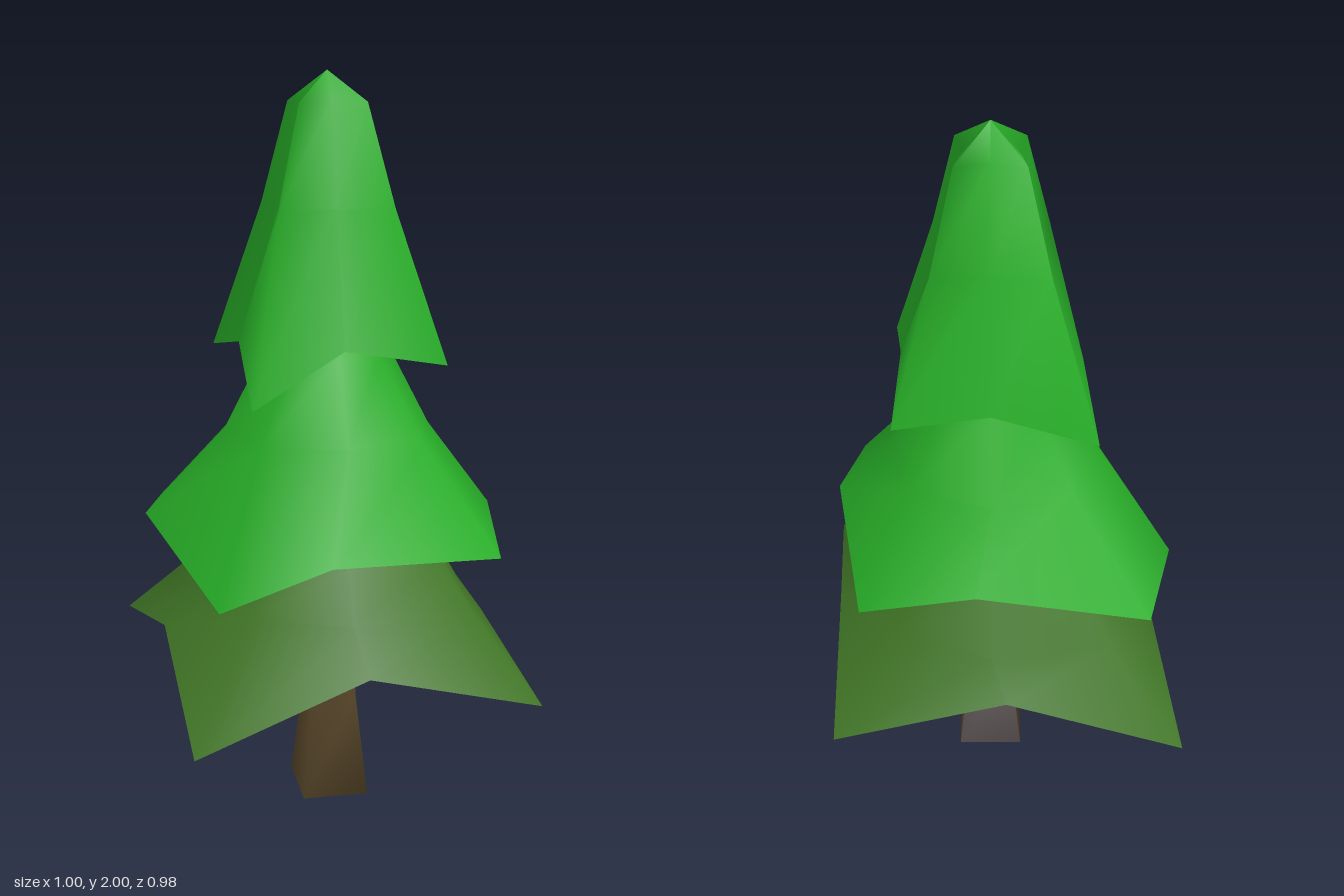
import * as THREE from 'three';

const foliageGreen = new THREE.MeshStandardMaterial({ color: 0x27ad27, side: THREE.DoubleSide });
foliageGreen.name = 'foliage green';
const oliveGreen = new THREE.MeshStandardMaterial({ color: 0x407526, side: THREE.DoubleSide });
oliveGreen.name = 'olive green';
const barkBrown = new THREE.MeshStandardMaterial({ color: 0x5c4a2c });
barkBrown.name = 'bark brown';
const bareGrey = new THREE.MeshStandardMaterial({ color: 0x6e6464 });
bareGrey.name = 'bare wood grey';

// Skin a run of loops (bottom to top, each running clockwise from the back left)
function loft(loops) {
  const n = loops[0].length;
  const index = [];
  for (let r = 0; r < loops.length - 1; r++) {
    for (let i = 0; i < n; i++) {
      const j = (i + 1) % n;
      const a = r * n + i, b = r * n + j;
      index.push(a, a + n, b, b, a + n, b + n);
    }
  }
  const geometry = new THREE.BufferGeometry();
  geometry.setAttribute('position', new THREE.Float32BufferAttribute(loops.flat(2), 3));
  geometry.setIndex(index);
  return geometry;
}

// Eight-point loop with radii for the edge middles and for the two diagonals
function octagon([y, middle, corner, longCorner = corner], cx = 0.02, cz = 0.01) {
  return Array.from({ length: 8 }, (_, i) => {
    const angle = (-3 + i) * Math.PI / 4;
    const r = i % 2 ? middle : i % 4 ? corner : longCorner;
    return [cx + Math.cos(angle) * r, y, cz + Math.sin(angle) * r];
  });
}

// Hollow skirt of foliage: an irregular star-shaped rim rising to smoother loops
function tier(name, material, rim, rings) {
  const geometry = loft([rim, ...rings.map((ring) => octagon(ring))]);
  geometry.computeVertexNormals();
  const mesh = new THREE.Mesh(geometry, material);
  mesh.name = name;
  return mesh;
}

// Four-sided trunk section
function rectangle(y, x0, x1, z0, z1) {
  return [[x0, y, z0], [x1, y, z0], [x1, y, z1], [x0, y, z1]];
}

// Trunk with a flared foot
function createTrunk() {
  const geometry = loft([
    rectangle(0, -0.065, 0.117, -0.09, 0.12),
    rectangle(0.29, -0.035, 0.088, -0.057, 0.09),
    rectangle(0.9, -0.035, 0.088, -0.057, 0.09),
  ]);
  // underside
  geometry.setIndex([...geometry.index.array, 0, 1, 2, 0, 2, 3]);
  // bare patch on the back of the foot
  geometry.addGroup(0, 6, 1);
  geometry.addGroup(6, geometry.index.count - 6, 0);
  geometry.computeVertexNormals();
  const mesh = new THREE.Mesh(geometry, [barkBrown, bareGrey]);
  mesh.name = 'trunk';
  return mesh;
}

export function createModel() {
  const tree = new THREE.Group();
  tree.name = 'pine tree';

  const lowerRim = [
    [-0.5, 0.39, -0.49], [-0.02, 0.5, -0.435], [0.46, 0.34, -0.41], [0.465, 0.5, 0.03],
    [0.5, 0.39, 0.49], [0.05, 0.48, 0.45], [-0.405, 0.29, 0.44], [-0.435, 0.5, 0.0],
  ];
  const middleRim = [
    [-0.4, 0.77, -0.395], [0.06, 0.83, -0.38], [0.375, 0.74, -0.33], [0.455, 0.84, 0.1],
    [0.405, 0.77, 0.4], [-0.04, 0.77, 0.41], [-0.325, 0.65, 0.355], [-0.47, 0.79, -0.125],
  ];
  const upperRim = [
    [-0.255, 1.24, -0.265], [0.02, 1.3, -0.225], [0.275, 1.26, -0.225], [0.26, 1.33, 0.04],
    [0.285, 1.26, 0.28], [0.02, 1.3, 0.255], [-0.22, 1.15, 0.25], [-0.225, 1.3, 0.05],
  ];

  tree.add(
    createTrunk(),
    tier('lowerFoliage', oliveGreen, lowerRim,
      [[0.6, 0.375, 0.36, 0.47], [0.74, 0.295, 0.265, 0.36], [0.9, 0.17, 0.16, 0.2]]),
    tier('middleFoliage', foliageGreen, middleRim,
      [[1.05, 0.285, 0.305], [1.27, 0.17, 0.17], [1.42, 0.09, 0.09]]),
    tier('upperFoliage', foliageGreen, upperRim,
      [[1.65, 0.13, 0.215], [1.92, 0.07, 0.127], [2, 0, 0]]),
  );
  return tree;
}
